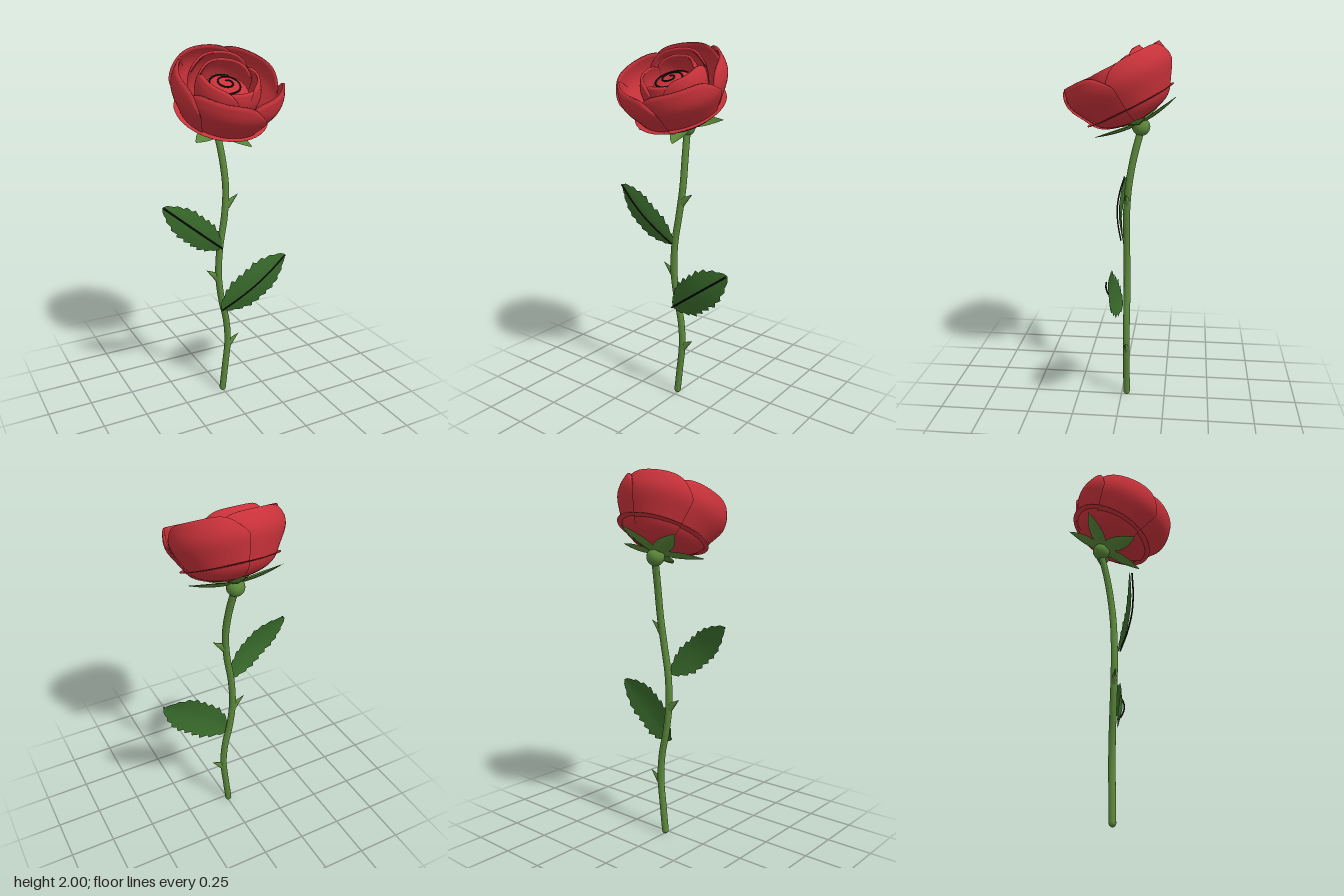
import * as THREE from 'three';

const mat = (name, color, side = THREE.FrontSide) => {
  const m = new THREE.MeshStandardMaterial({ color, side });
  m.name = name;
  return m;
};
const V = (x, y, z) => new THREE.Vector3(x, y, z);
const rad = THREE.MathUtils.degToRad;

// Grid surface from a rule fn(u, v) -> Vector3, facing du x dv
function sheet(nu, nv, fn) {
  const pos = [], idx = [];
  for (let i = 0; i <= nu; i++)
    for (let j = 0; j <= nv; j++) pos.push(...fn(i / nu, j / nv).toArray());
  for (let i = 0; i < nu; i++)
    for (let j = 0; j < nv; j++) {
      const a = i * (nv + 1) + j, b = a + nv + 1;
      idx.push(a, b, b + 1, a, b + 1, a + 1);
    }
  const g = new THREE.BufferGeometry();
  g.setAttribute('position', new THREE.Float32BufferAttribute(pos, 3));
  g.setIndex(idx);
  g.computeVertexNormals();
  return g;
}

// Cupped petal with thickness: a profile swept round the flower axis,
// rounded at the top and spiralling outwards from one edge to the other
function petalGeometry(profile, centre, half, twist, rScale = 1, hScale = 1) {
  const curve = new THREE.SplineCurve(profile.map(p => new THREE.Vector2(...p)));
  return sheet(28, 33, (s, v) => {
    const u = s * 2 - 1, outer = v < 0.5;
    const top = 1 - 0.3 * Math.abs(u) ** 4;
    const t = Math.min(1, outer ? v * 2.06 : (1 - v) * 2.06);
    const p = curve.getPoint(t * top);
    const thick = outer ? 0 : 0.014 * Math.sqrt(Math.max(0, 1 - u ** 8));
    const r = Math.max(0.005, p.x * rScale * (1 + twist * u) - thick);
    const a = rad(centre) + u * rad(half);
    return V(r * Math.sin(a), p.y * hScale, r * Math.cos(a));
  });
}

// Leaf blade along +x, folded on its midrib, with optional teeth
function bladeGeometry(length, width, bow, fold, teeth) {
  const n = teeth ? teeth * 4 : 16;
  return sheet(n, 4, (t, v) => {
    const step = Math.round(t * n) % 4;
    const w = width(t) * (teeth ? 0.9 + 0.06 * step : 1);
    const y = (v * 2 - 1) * w;
    return V(t * length, y, bow(t) - fold * Math.abs(y));
  });
}

export function createModel() {
  const root = new THREE.Group();
  root.name = 'rose';
  const red = mat('petal red', 0xc9323a, THREE.DoubleSide);
  const green = mat('stem green', 0x5a873a, THREE.DoubleSide);
  const dark = mat('leaf green', 0x386a2b, THREE.DoubleSide);
  const black = mat('line black', 0x141414);
  const add = (parent, name, geo, m) => {
    const mesh = new THREE.Mesh(geo, m);
    mesh.name = name;
    parent.add(mesh);
    return mesh;
  };

  // Stem with a rounded foot
  const path = new THREE.CatmullRomCurve3([
    V(-0.003, 0.018, -0.03), V(0.012, 0.15, -0.03), V(0.03, 0.33, -0.03), V(0.02, 0.47, -0.03),
    V(-0.008, 0.6, -0.03), V(-0.028, 0.76, -0.028), V(-0.02, 0.93, -0.026), V(0.008, 1.1, -0.028),
    V(0.023, 1.25, -0.04), V(0.018, 1.4, -0.065), V(0.003, 1.56, -0.105)]);
  add(root, 'stem', new THREE.TubeGeometry(path, 80, 0.019, 14), green);
  add(root, 'stemFoot', new THREE.SphereGeometry(0.019, 14, 10), green).position.set(-0.003, 0.019, -0.03);

  // Thorns
  for (const [x, y, side] of [[0.035, 0.31, 1], [-0.035, 0.75, -1], [0.025, 1.17, 1]]) {
    const geo = new THREE.ConeGeometry(0.026, 0.09, 10);
    geo.translate(0, 0.04, 0);
    geo.scale(1, 1, 0.65);
    const thorn = add(root, 'thorn', geo, green);
    thorn.position.set(x, y, -0.03);
    thorn.rotation.z = -side * 0.92;
  }

  // Serrated leaves with a dark midrib
  const leaves = [
    { base: V(-0.02, 0.55, -0.005), dx: 0.385, dy: 0.285, w: 0.1 },
    { base: V(-0.02, 0.93, -0.005), dx: -0.345, dy: 0.29, w: 0.076 }];
  leaves.forEach(({ base, dx, dy, w }, i) => {
    const leaf = new THREE.Group();
    leaf.name = i ? 'upperLeaf' : 'lowerLeaf';
    const len = Math.hypot(dx, dy);
    const bow = t => (i ? 0.015 : 0.035) * t + 0.032 * Math.sin(Math.PI * t);
    const width = t => w * Math.min(1, 1.12 * Math.sin(Math.PI * t ** 0.95) ** 0.75) + 0.004;
    add(leaf, 'leafBlade', bladeGeometry(len, width, bow, 0.15, 9), dark);
    const rib = [0, 0.25, 0.5, 0.75, 1].map(t => V(t * len, 0, bow(t) + 0.01));
    add(leaf, 'midrib', new THREE.TubeGeometry(new THREE.CatmullRomCurve3(rib), 24, 0.0045, 6), black);
    leaf.position.copy(base);
    leaf.rotation.z = Math.atan2(dy, dx);
    root.add(leaf);
  });

  // Flower head, leaning forwards
  const head = new THREE.Group();
  head.name = 'flowerHead';
  head.position.set(0, 1.57, -0.1);
  head.rotation.x = 0.47;
  root.add(head);
  add(head, 'hip', new THREE.SphereGeometry(0.048, 20, 14), green).position.set(0, -0.005, 0);

  // Sepals
  for (let k = 0; k < 5; k++) {
    const holder = new THREE.Group();
    holder.name = 'sepal';
    holder.rotation.y = rad(20 + 72 * k - 90);
    const geo = bladeGeometry(0.25, t => 0.042 * Math.sin(Math.PI * t ** 0.85) ** 0.9 + 0.012 * (1 - t),
      t => 0.01 + 0.05 * t * t, -0.35, 0);
    add(holder, 'sepalBlade', geo, green).rotation.x = -Math.PI / 2;
    head.add(holder);
  }

  // Flat collar under the petals
  const collar = [[0.04, 0.035], [0.13, 0.075], [0.2, 0.112], [0.25, 0.119], [0.25, 0.123], [0.2, 0.118]];
  add(head, 'collar', new THREE.LatheGeometry(collar.map(p => new THREE.Vector2(...p)), 48), red);

  // Outer petals
  const outer = [[0.03, 0.03], [0.13, 0.052], [0.2, 0.09], [0.245, 0.16], [0.283, 0.23], [0.29, 0.285], [0.277, 0.345]];
  for (const a of [40, 128, 192, 262, 330])
    add(head, 'outerPetal', petalGeometry(outer, a, 50, 0.035), red);

  // Inner petals: angle, half width, radius scale, height scale
  const inner = [[0.03, 0.06], [0.11, 0.11], [0.16, 0.19], [0.175, 0.27], [0.17, 0.32], [0.155, 0.36]];
  for (const [a, half, r, h] of [
    [185, 62, 1.13, 1.03], [75, 58, 1, 0.95], [15, 55, 0.98, 0.9], [-65, 62, 0.97, 0.93],
    [172, 75, 0.88, 0.98]])
    add(head, 'innerPetal', petalGeometry(inner, a, half, 0.04, r, h), red);

  // Central bud and its spiral line
  const bud = [[0.06, 0.08], [0.115, 0.15], [0.128, 0.21], [0.112, 0.262], [0.06, 0.29], [0, 0.298]];
  add(head, 'bud', new THREE.LatheGeometry(
    new THREE.SplineCurve(bud.map(p => new THREE.Vector2(...p))).getPoints(24), 40), red);
  const spiral = [];
  for (let i = 0; i <= 40; i++) {
    const t = i / 40, r = 0.1 - 0.09 * t, a = rad(60 + 800 * t);
    spiral.push(V(r * Math.cos(a) - 0.005, 0.3 - 2.4 * r * r, -r * Math.sin(a)));
  }
  add(head, 'spiral', new THREE.TubeGeometry(new THREE.CatmullRomCurve3(spiral), 120, 0.0045, 6), black);

  return root;
}
